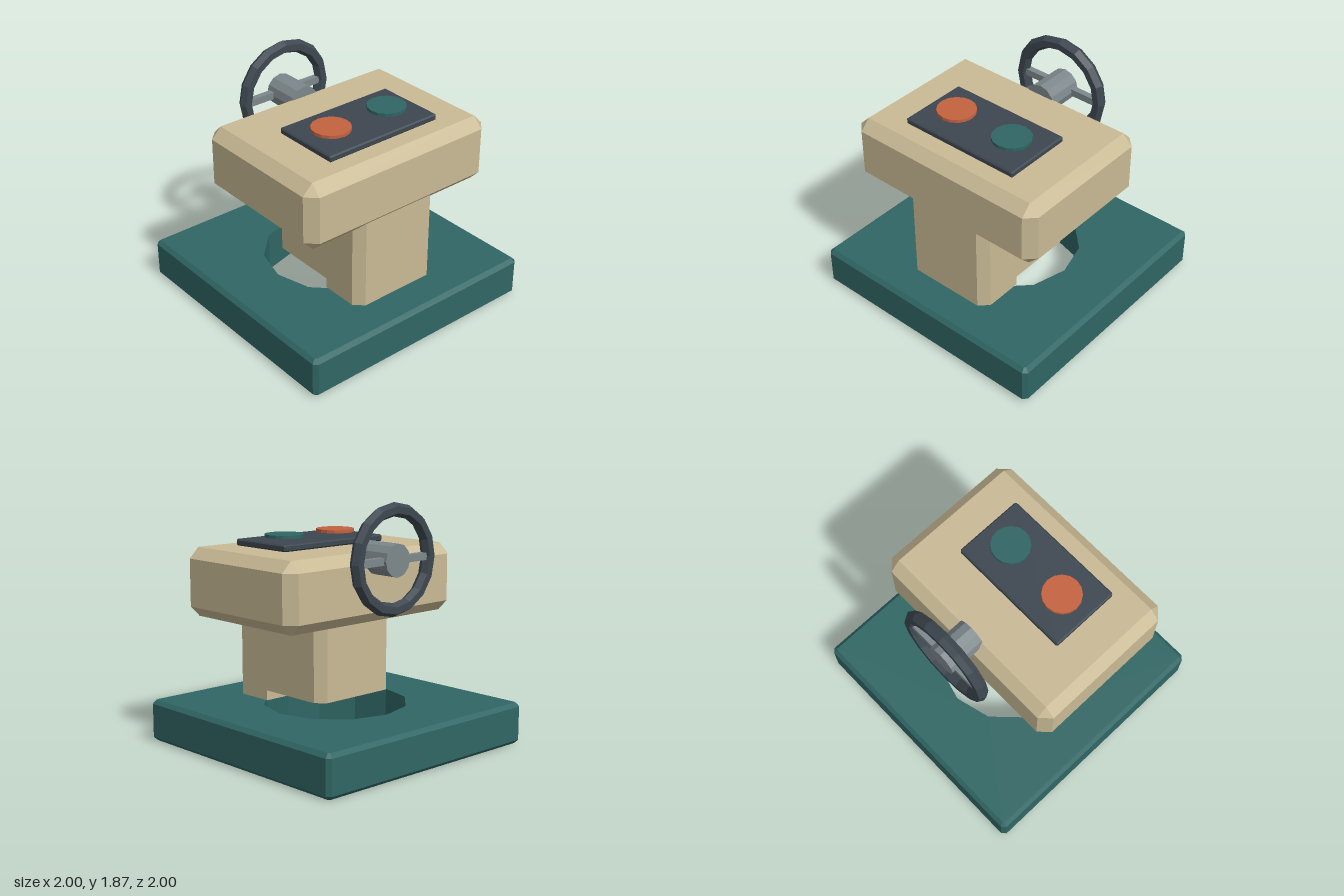
import * as THREE from 'three';
import { ConvexGeometry } from 'three/addons/geometries/ConvexGeometry.js';

const paint = (name, color) => new THREE.MeshStandardMaterial({ name, color, flatShading: true });

// Box between two corners with every edge cut at 45 degrees
function chamferBox(min, max, c) {
  const mid = min.map((v, i) => (v + max[i]) / 2);
  const half = min.map((v, i) => (max[i] - v) / 2);
  const pts = [];
  for (const sx of [-1, 1]) for (const sy of [-1, 1]) for (const sz of [-1, 1])
    for (let outer = 0; outer < 3; outer++) {
      const p = [sx, sy, sz].map((s, i) => mid[i] + s * (half[i] - (i === outer ? 0 : c)));
      pts.push(new THREE.Vector3(...p));
    }
  return new ConvexGeometry(pts);
}

// Upright prism from an outline of [x, z] points
function prism(outline, y0, y1) {
  const shape = new THREE.Shape(outline.map(([x, z]) => new THREE.Vector2(x, -z)));
  const geo = new THREE.ExtrudeGeometry(shape, { depth: y1 - y0, bevelEnabled: false });
  return geo.rotateX(-Math.PI / 2).translate(0, y0, 0);
}

// Bevelled square slab with a straight twelve-sided hole
function baseGeometry() {
  const c = 0.03, r = 0.55, k = 1 - c;
  const shape = new THREE.Shape([
    [1, -k], [1, k], [k, 1], [-k, 1], [-1, k], [-1, -k], [-k, -1], [k, -1],
  ].map(([x, y]) => new THREE.Vector2(x, y)));
  const ring = [];
  for (let i = 0; i < 12; i++) {
    const a = -i * Math.PI / 6;
    ring.push(new THREE.Vector2(r * Math.cos(a), r * Math.sin(a)));
  }
  shape.holes.push(new THREE.Path(ring));
  const geo = new THREE.ExtrudeGeometry(shape, {
    depth: 0.32 - 2 * c, bevelThickness: c, bevelSize: c, bevelOffset: -c, bevelSegments: 1,
  });
  // Only the outside stays bevelled: pull the hole's rim back to its radius
  const pos = geo.attributes.position;
  for (let i = 0; i < pos.count; i++) {
    const d = Math.hypot(pos.getX(i), pos.getY(i));
    if (d < 0.7) pos.setXY(i, pos.getX(i) * r / d, pos.getY(i) * r / d);
  }
  geo.computeVertexNormals();
  return geo.rotateX(-Math.PI / 2).translate(0, c, 0);
}

export function createModel() {
  const model = new THREE.Group();
  const teal = paint('teal', 0x2f6664);
  const beige = paint('beige', 0xc9ba95);
  const dark = paint('darkSlate', 0x3d4750);
  const steel = paint('steel', 0x7d878b);
  const orange = paint('orange', 0xc4623f);

  const add = (name, geo, mat, parent = model) => {
    const mesh = new THREE.Mesh(geo, mat);
    mesh.name = name;
    parent.add(mesh);
    return mesh;
  };

  add('base', baseGeometry(), teal);

  // Post, undercut behind its front foot
  const w = 0.375, c = 0.07, front = 0.72, back = -0.24, step = 0.36;
  add('post', prism([
    [-w, front - c], [-w + c, front], [w - c, front], [w, front - c],
    [w, back + c], [w - c, back], [-w + c, back], [-w, back + c],
  ], 0.4, 1.06), beige);
  add('postFoot', prism([
    [-w, step], [-w, front - c], [-w + c, front], [w - c, front], [w, front - c], [w, step],
  ], 0.322, 0.4), beige);

  add('head', chamferBox([-0.836, 0.983, -0.44], [0.836, 1.503, 0.76], 0.08), beige);

  // Control panel and its two buttons
  add('controlPanel', chamferBox([-0.497, 1.503, 0], [0.497, 1.553, 0.555], 0.01), dark);
  for (const [name, x, mat] of [['stopButton', -0.26, orange], ['startButton', 0.26, teal]]) {
    const button = add(name, new THREE.CylinderGeometry(0.147, 0.147, 0.024, 16), mat);
    button.position.set(x, 1.584, 0.278);
  }

  // Handwheel on the back
  const wheel = new THREE.Group();
  wheel.name = 'handwheel';
  wheel.position.set(0, 1.462, -0.6);
  model.add(wheel);
  add('wheelRim', new THREE.TorusGeometry(0.361, 0.051, 6, 16), dark, wheel);
  add('wheelSpokes', new THREE.BoxGeometry(0.7, 0.055, 0.05), steel, wheel);
  const hub = add('wheelHub', new THREE.CylinderGeometry(0.122, 0.122, 0.295, 12), steel, wheel);
  hub.rotation.x = Math.PI / 2;
  hub.position.z = 0.1;

  return model;
}
